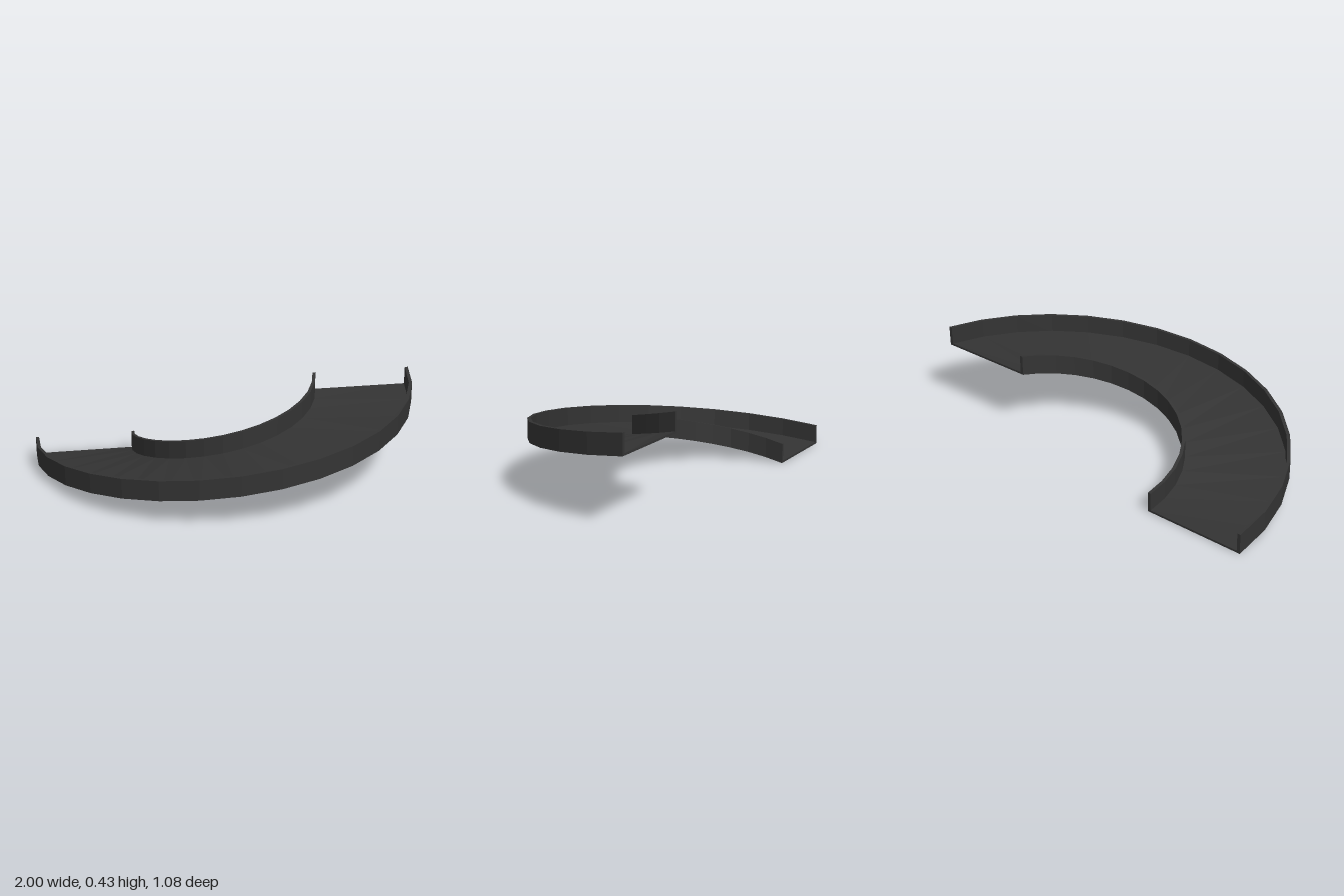
import * as THREE from 'three';

const STEPS = 16;        // facets along the half turn
const RISE = 0.33;       // climb from the low end to the high end
const CENTRE_Z = -0.46;  // axis of the turn
const END_OFFSET = 0.08; // keeps both ends cut square across the ramp

// Point on the spiral at radius r, height y above the ramp base, t from 0 to 1
function spiralPoint(r, y, t) {
  const a = Math.PI * t - Math.asin(END_OFFSET / r);
  return [-r * Math.cos(a), y + RISE * t, CENTRE_Z + r * Math.sin(a)];
}

// Sweep a rectangular section (r0..r1, y0..y1) along the spiral, with end caps
function sweptStrip(r0, r1, y0, y1) {
  const section = [[r0, y0], [r1, y0], [r1, y1], [r0, y1]];
  const pos = [];
  const quad = (a, b, c, d) => pos.push(...a, ...b, ...c, ...a, ...c, ...d);
  const ring = (t) => section.map(([r, y]) => spiralPoint(r, y, t));
  for (let i = 0; i < STEPS; i++) {
    const p = ring(i / STEPS);
    const q = ring((i + 1) / STEPS);
    for (let k = 0; k < 4; k++) {
      const n = (k + 1) % 4;
      quad(p[n], p[k], q[k], q[n]);
    }
  }
  quad(...ring(0));
  quad(...ring(1).reverse());
  const g = new THREE.BufferGeometry();
  g.setAttribute('position', new THREE.Float32BufferAttribute(pos, 3));
  g.computeVertexNormals();
  return g;
}

export function createModel() {
  const group = new THREE.Group();
  group.name = 'curvedRamp';
  const charcoal = new THREE.MeshStandardMaterial({ color: 0x333333 });
  charcoal.name = 'charcoal';

  const add = (name, ...size) => {
    const mesh = new THREE.Mesh(sweptStrip(...size), charcoal);
    mesh.name = name;
    group.add(mesh);
  };

  // Thin deck between two upright rails
  add('deck', 0.495, 0.986, 0, 0.01);
  add('innerRail', 0.479, 0.495, 0, 0.103);
  add('outerRail', 0.986, 1.003, 0, 0.103);
  return group;
}
